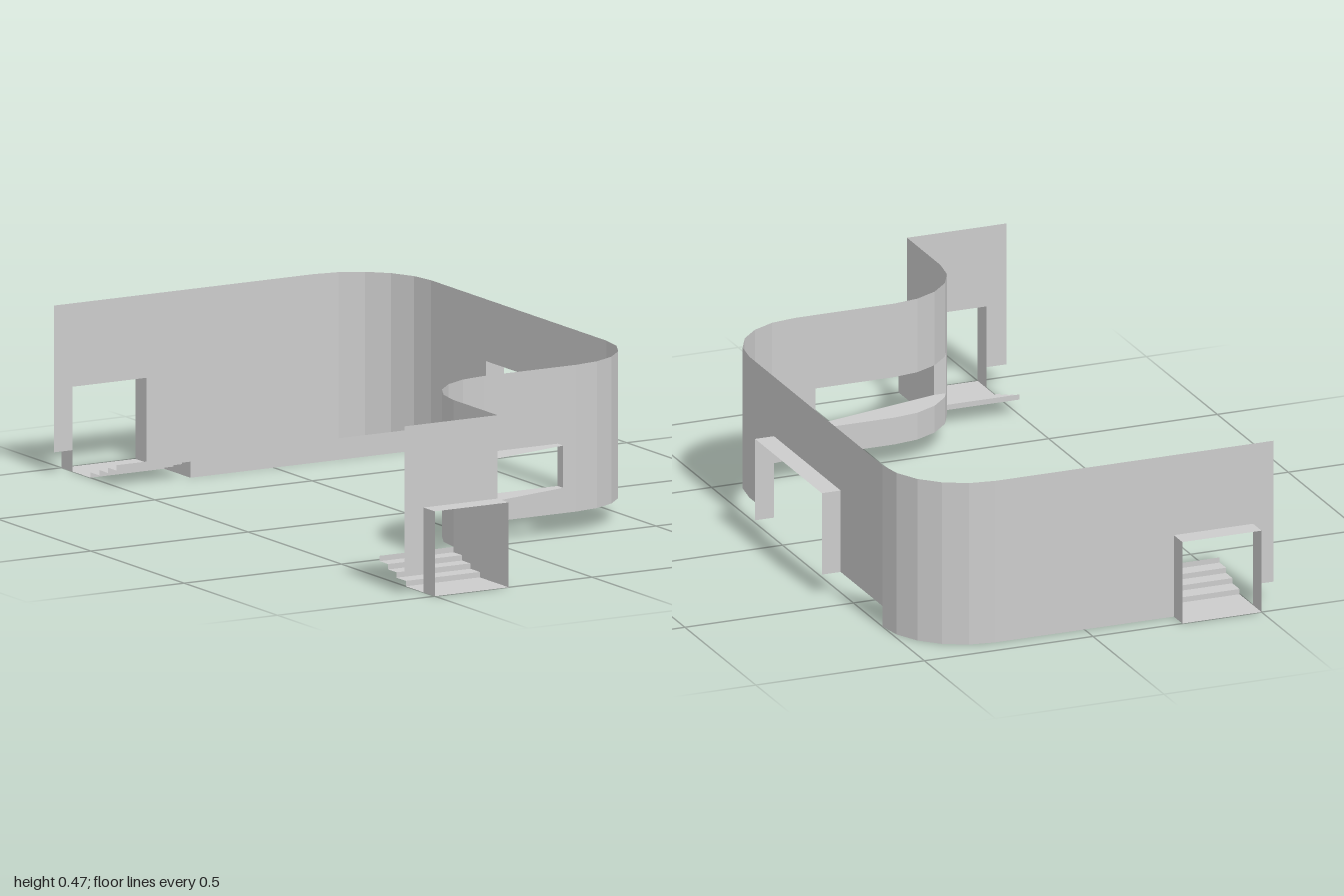
import * as THREE from 'three';

const material = new THREE.MeshStandardMaterial({ color: 0xcccccc, flatShading: true, side: THREE.DoubleSide });

// Wall, ground and stair measures
const BASE = 0.06, TOP = 0.47, R = 0.235;
const LEFT = -0.56, DOOR = -0.5, SIDE = -0.265, RIGHT = 0.5;
const WALL_Z = 0.94, FRAME_Z = 1, STAIR_Z = 0.705, DOOR_TOP = 0.237;

export function createModel() {
  const group = new THREE.Group();

  function add(parent, name, geometry) {
    const mesh = new THREE.Mesh(geometry, material);
    mesh.name = name;
    parent.add(mesh);
    return mesh;
  }

  // Ruled surface between two rows of points
  function ruled(rowA, rowB) {
    const pos = [];
    for (let i = 0; i < rowA.length - 1; i++) {
      const [a, b, c, d] = [rowA[i], rowA[i + 1], rowB[i + 1], rowB[i]];
      pos.push(...a, ...b, ...c, ...a, ...c, ...d);
    }
    const g = new THREE.BufferGeometry();
    g.setAttribute('position', new THREE.Float32BufferAttribute(pos, 3));
    g.computeVertexNormals();
    return g;
  }

  // Upright sheet along a plan path of [x, z] points
  const wall = (path, y0, y1) =>
    ruled(path.map(([x, z]) => [x, y0, z]), path.map(([x, z]) => [x, y1, z]));

  // Level sheet from a plan outline
  function slab(outline, y) {
    const shape = new THREE.Shape(outline.map(([x, z]) => new THREE.Vector2(x, -z)));
    return new THREE.ShapeGeometry(shape).rotateX(-Math.PI / 2).translate(0, y, 0);
  }

  // Five-sided quarter turn in plan
  function arc(cx, cz, from, to) {
    return Array.from({ length: 6 }, (_, i) => {
      const a = THREE.MathUtils.degToRad(from + (to - from) * i / 5);
      return [cx + R * Math.cos(a), cz + R * Math.sin(a)];
    });
  }

  // Curving front wall, split around the window
  const inner = arc(SIDE + R, STAIR_Z, 180, 270);
  const outer = arc(RIGHT - R, R, 90, 0);
  const cutStart = [-0.235, 0.595], cutEnd = [0.205, 0.47];
  const windowPath = [cutStart, ...inner.slice(2), cutEnd];
  const sill = 0.138, head = 0.256;
  add(group, 'curvedWallLeft', wall([...inner.slice(0, 2), cutStart], BASE, TOP));
  add(group, 'wallBelowWindow', wall(windowPath, BASE, sill));
  add(group, 'wallAboveWindow', wall(windowPath, head, TOP));
  add(group, 'curvedWallRight', wall([cutEnd, ...outer], BASE, TOP));

  // Window reveal with a straight outer edge
  const frameStart = [-0.2, 0.595], frameEnd = [0.205, 0.5];
  const revealOutline = [...windowPath, frameEnd, frameStart];
  add(group, 'windowSill', slab(revealOutline, sill));
  add(group, 'windowHead', slab(revealOutline, head));
  add(group, 'windowJamb', wall([cutStart, frameStart], sill, head));
  add(group, 'windowJamb', wall([cutEnd, frameEnd], sill, head));

  // Side wall with a wide opening and its projecting frame
  const zA = 0.06, zB = -0.41, openTop = 0.297, outX = 0.556;
  add(group, 'sideWall', wall([[RIGHT, R], [RIGHT, zA]], BASE, TOP));
  add(group, 'wallAboveSideOpening', wall([[RIGHT, zA], [RIGHT, zB]], openTop, TOP));
  add(group, 'sideWall', wall([[RIGHT, zB], [RIGHT, -STAIR_Z]], BASE, TOP));
  add(group, 'sideOpeningHead', slab([[RIGHT, zA], [outX, zA], [outX, zB], [RIGHT, zB]], openTop));
  for (const z of [zA, zB]) {
    add(group, 'sideOpeningJamb', wall([[RIGHT, z], [outX, z]], BASE, openTop));
  }

  // Rounded back corner and back wall, down to the lower ground
  add(group, 'backWall', wall([...arc(RIGHT - R, -STAIR_Z, 0, -90), [SIDE, -WALL_Z]], 0, TOP));
  add(group, 'lowFloorEdge', wall([[SIDE, -STAIR_Z], [RIGHT, -STAIR_Z]], 0, BASE));

  // Stair edges from the door inwards: [z where the tread starts, tread height]
  const steps = [[FRAME_Z, 0], [0.845, 0.015], [0.795, 0.03], [0.75, 0.045], [STAIR_Z, BASE]];

  // Entrances with door frame and stairs, front and back
  for (const s of [1, -1]) {
    const entrance = new THREE.Group();
    entrance.name = s > 0 ? 'frontEntrance' : 'backEntrance';
    group.add(entrance);
    const w = s * WALL_Z, f = s * FRAME_Z;
    add(entrance, 'wallBesideDoor', wall([[LEFT, w], [DOOR, w]], BASE, TOP));
    add(entrance, 'wallAboveDoor', wall([[DOOR, w], [SIDE, w]], DOOR_TOP, TOP));
    add(entrance, 'doorHead', slab([[DOOR, w], [SIDE, w], [SIDE, f], [DOOR, f]], DOOR_TOP));
    for (const x of [DOOR, SIDE]) {
      add(entrance, 'doorJamb', wall([[x, w], [x, f]], 0, DOOR_TOP));
    }

    // Treads and risers as one folded sheet
    const profile = [];
    steps.forEach(([z, y], i) => {
      if (i) profile.push([steps[i - 1][1], z]);
      profile.push([y, z]);
    });
    add(entrance, 'stairs', ruled(
      profile.map(([y, z]) => [DOOR, y, s * z]),
      profile.map(([y, z]) => [SIDE, y, s * z])));

    // Sheet beside the stairs: full wall at the front, low cheek at the back
    for (let i = 0; i < 4; i++) {
      const z0 = Math.min(steps[i][0], WALL_Z), z1 = steps[i + 1][0], y = steps[i][1];
      const path = [[SIDE, s * z0], [SIDE, s * z1]];
      if (s > 0) add(entrance, 'stairSideWall', wall(path, y, TOP));
      else if (i) add(entrance, 'stairCheek', wall(path, 0, y));
    }
  }
  return group;
}
